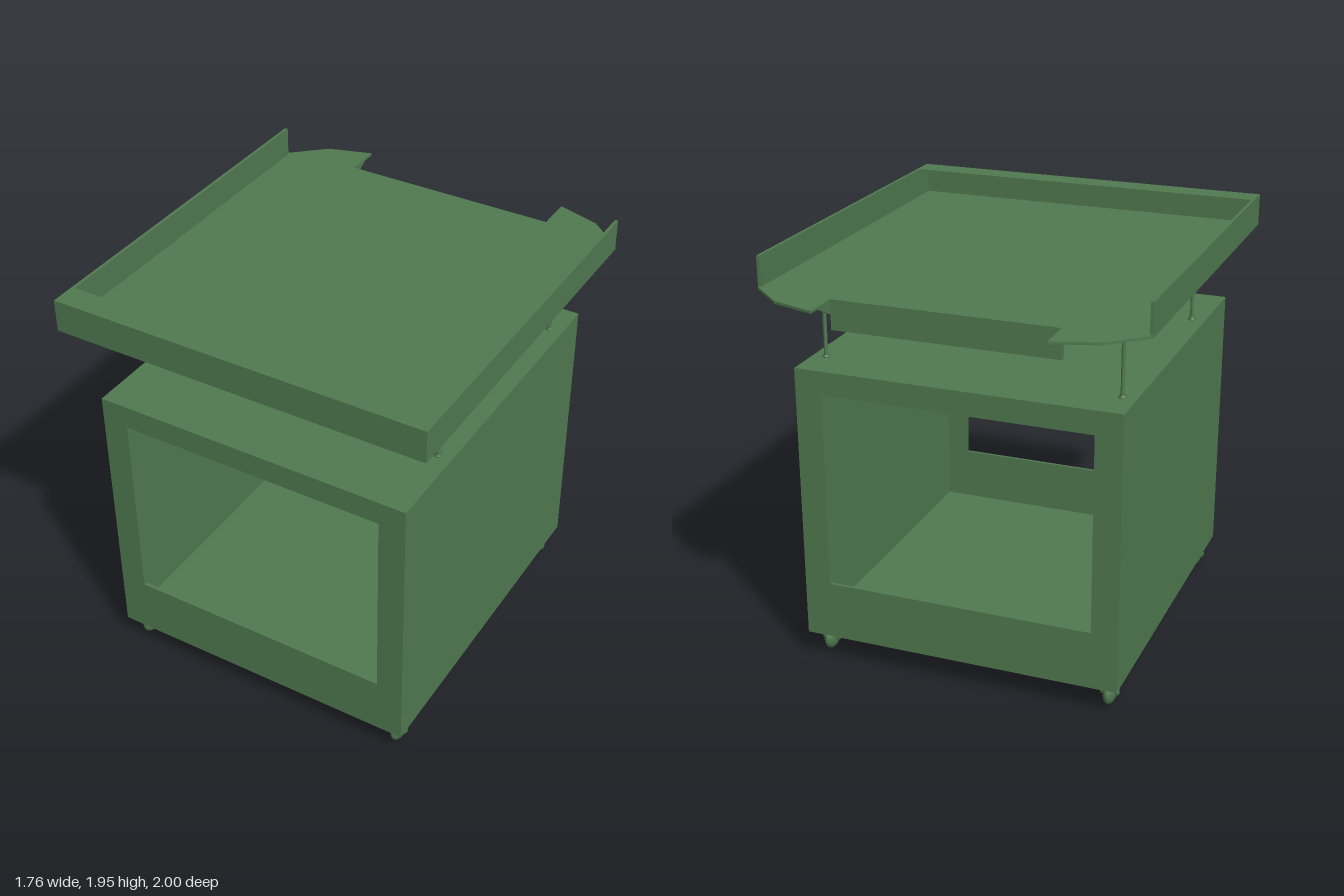
import * as THREE from 'three';

const mat = new THREE.MeshStandardMaterial({ color: 0x507a50, side: THREE.DoubleSide });
const flatMat = mat.clone();
flatMat.flatShading = true;

function add(parent, name, geo, x = 0, y = 0, z = 0, material = flatMat) {
  const m = new THREE.Mesh(geo, material);
  m.name = name;
  m.position.set(x, y, z);
  parent.add(m);
  return m;
}

// Box given by its limits on each axis
function box(parent, name, [x0, x1], [y0, y1], [z0, z1]) {
  return add(parent, name, new THREE.BoxGeometry(x1 - x0, y1 - y0, z1 - z0),
    (x0 + x1) / 2, (y0 + y1) / 2, (z0 + z1) / 2);
}

// Mirror a half outline (x, z) running front to back into a closed loop
const mirrored = half => [
  ...half.map(([x, z]) => new THREE.Vector2(x, z)),
  ...half.slice().reverse().map(([x, z]) => new THREE.Vector2(-x, z)),
];

// Horizontal slab from an (x, z) outline; extrusion runs downward from the top
function slab(outline, depth) {
  const geo = new THREE.ExtrudeGeometry(new THREE.Shape(outline), { depth, bevelEnabled: false });
  return geo.rotateX(Math.PI / 2);
}

function buildCabinet() {
  const g = new THREE.Group();
  g.name = 'cabinet';
  const W = 0.755, Y0 = 0.125, Y1 = 1.44, ZF = 0.92, ZB = -0.735, T = 0.015;

  // Framed openings, front and back
  const shape = new THREE.Shape();
  shape.moveTo(-W, Y0).lineTo(W, Y0).lineTo(W, Y1).lineTo(-W, Y1).closePath();
  const hole = new THREE.Path();
  hole.moveTo(-0.63, 0.4).lineTo(-0.63, 1.33).lineTo(0.63, 1.33).lineTo(0.63, 0.4).closePath();
  shape.holes.push(hole);
  const frame = new THREE.ExtrudeGeometry(shape, { depth: T, bevelEnabled: false });
  add(g, 'frontFrame', frame, 0, 0, ZF - T);
  add(g, 'backFrame', frame, 0, 0, ZB);

  // Thin shell between the frames
  const depth = [ZB + T, ZF - T];
  box(g, 'leftWall', [W - T, W], [Y0, Y1], depth);
  box(g, 'rightWall', [-W, -W + T], [Y0, Y1], depth);
  box(g, 'cabinetFloor', [-W + T, W - T], [Y0, Y0 + T], depth);
  box(g, 'cabinetTop', [-W + T, W - T], [Y1 - T, Y1], depth);
  return g;
}

function buildCaster() {
  const g = new THREE.Group();
  g.name = 'caster';
  const wheel = new THREE.SphereGeometry(0.06, 24, 16).scale(0.5, 1, 1);
  add(g, 'wheel', wheel, 0, 0.06, 0, mat);
  add(g, 'axle', new THREE.CylinderGeometry(0.012, 0.012, 0.084, 12).rotateZ(Math.PI / 2), 0, 0.06, 0, mat);
  // Tapered fork plates on both sides of the wheel
  const side = new THREE.Shape();
  side.moveTo(-0.018, 0.05).lineTo(0.018, 0.05).lineTo(0.05, 0.125).lineTo(-0.05, 0.125).closePath();
  const plate = new THREE.ExtrudeGeometry(side, { depth: 0.005, bevelEnabled: false }).rotateY(Math.PI / 2);
  for (const x of [-0.038, 0.033]) add(g, 'forkPlate', plate, x, 0, 0);
  box(g, 'forkTop', [-0.038, 0.038], [0.118, 0.126], [-0.05, 0.05]);
  return g;
}

function buildPost() {
  // Slim rod with a flared collar at each end
  const profile = [[0, 0], [0.018, 0], [0.018, 0.006], [0.009, 0.016], [0.009, 0.292],
    [0.018, 0.302], [0.018, 0.308], [0, 0.308]].map(p => new THREE.Vector2(...p));
  return new THREE.LatheGeometry(profile, 12);
}

function buildTray() {
  const g = new THREE.Group();
  g.name = 'tray';
  const W = 0.88, T = 0.015, Y0 = 1.8, Y1 = 1.95;

  // Floor plate with two rear wings around a notch
  const plate = mirrored([[W, 1], [W, -0.79], [0.72, -0.935], [0.515, -1], [0.515, -0.83]]);
  add(g, 'trayFloor', slab(plate, 0.012), 0, Y0 + 0.012, 0);

  // Sloped underside: the lower rim of the slab is drawn inward
  const upper = mirrored([[0.82, 0.94], [0.82, -0.76], [0.69, -0.88], [0.515, -0.94], [0.515, -0.825]]);
  const lower = mirrored([[0.72, 0.85], [0.72, -0.715], [0.635, -0.79], [0.515, -0.83], [0.515, -0.825]]);
  const under = slab(upper, 0.055);
  const p = under.attributes.position;
  for (let i = 0; i < p.count; i++) {
    if (p.getY(i) > -0.03) continue;
    const k = upper.findIndex(v => Math.hypot(v.x - p.getX(i), v.y - p.getZ(i)) < 1e-4);
    p.setX(i, lower[k].x);
    p.setZ(i, lower[k].y);
  }
  under.computeVertexNormals();
  add(g, 'trayUnderside', under, 0, Y0, 0);

  // Raised rim with an inward lip along the front
  box(g, 'leftRim', [W - T, W], [Y0, Y1], [-0.785, 1]);
  box(g, 'rightRim', [-W, -W + T], [Y0, Y1], [-0.785, 1]);
  box(g, 'frontRim', [-W + T, W - T], [Y0, Y1], [1 - T, 1]);
  box(g, 'frontLip', [-W + T, W - T], [Y1 - 0.01, Y1], [0.88, 1 - T]);

  // Flap hanging at the rear notch
  box(g, 'rearFlap', [-0.515, 0.515], [1.675, Y0 + 0.011], [-0.828, -0.8]);
  return g;
}

export function createModel() {
  const model = new THREE.Group();
  model.name = 'trolley';
  model.add(buildCabinet(), buildTray());
  const post = buildPost();
  for (const x of [-0.69, 0.69]) {
    for (const z of [0.82, -0.625]) {
      const caster = buildCaster();
      caster.position.set(x, 0, z);
      model.add(caster);
    }
    for (const z of [0.53, -0.555]) add(model, 'supportPost', post, x, 1.439, z, mat);
  }
  return model;
}
